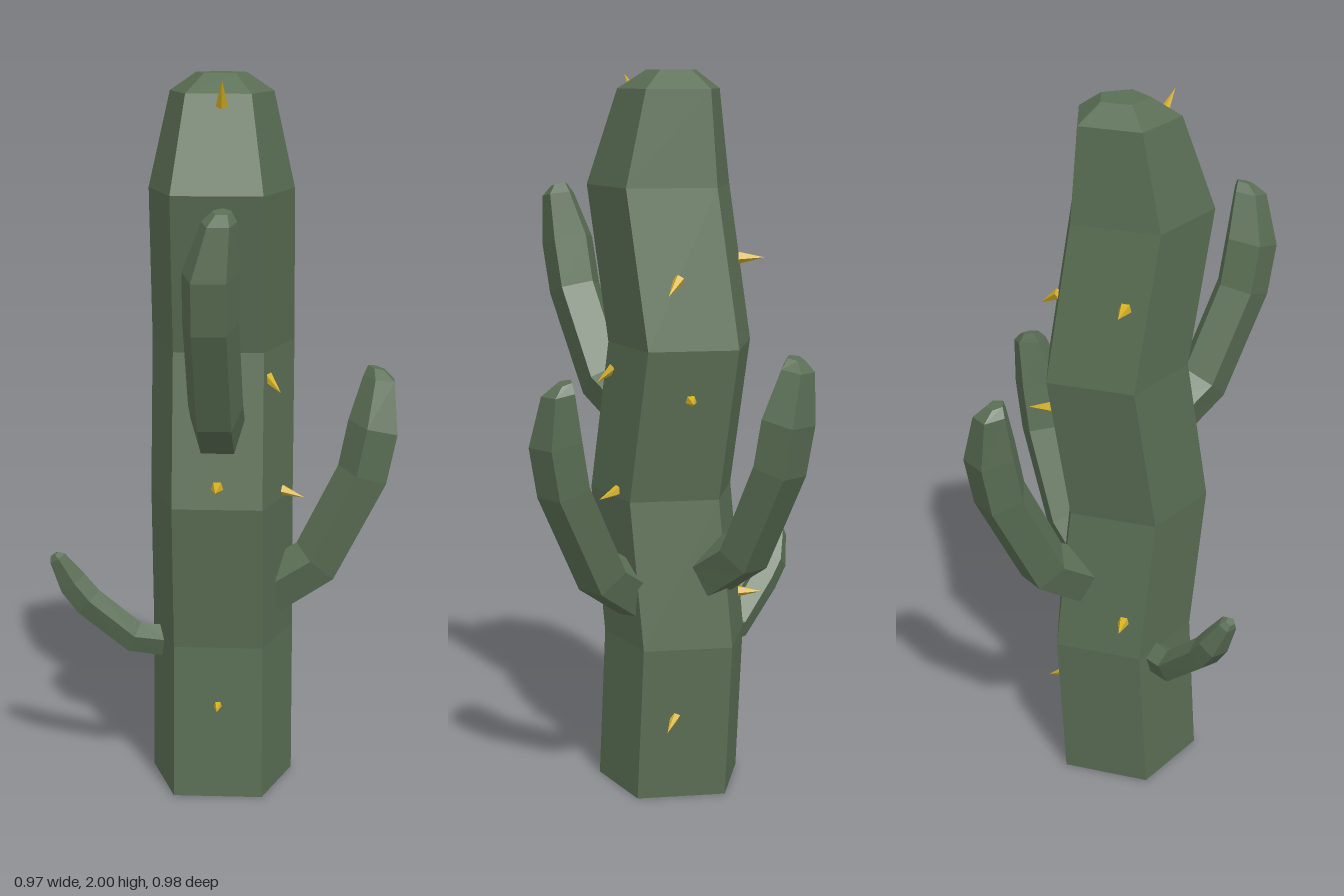
import * as THREE from 'three';

const green = new THREE.MeshStandardMaterial({ color: 0x5a6e54, flatShading: true });
const gold = new THREE.MeshStandardMaterial({ color: 0xd4af25, flatShading: true });
const SIDES = 5;

// Five-sided stem from rings [out (z), y, side (x), radius, direction in degrees above horizontal];
// each ring has a corner on its inner side and a flat on its outer side.
function stem(name, rings) {
  const loops = rings.map(([out, y, side, r, deg]) => {
    const t = THREE.MathUtils.degToRad(deg);
    return Array.from({ length: SIDES }, (_, k) => {
      const a = (k / SIDES) * Math.PI * 2;
      const c = r * Math.cos(a);
      return [side - r * Math.sin(a), y + c * Math.cos(t), out - c * Math.sin(t)];
    });
  });
  const pos = [];
  const tri = (...pts) => pts.forEach((p) => pos.push(...p));
  for (let i = 0; i < loops.length - 1; i++) {
    for (let k = 0; k < SIDES; k++) {
      const n = (k + 1) % SIDES;
      const a = loops[i], b = loops[i + 1];
      tri(a[k], a[n], b[n]);
      tri(a[k], b[n], b[k]);
    }
  }
  // End caps
  const first = loops[0], last = loops[loops.length - 1];
  for (let k = 1; k < SIDES - 1; k++) {
    tri(first[0], first[k + 1], first[k]);
    tri(last[0], last[k], last[k + 1]);
  }
  const geo = new THREE.BufferGeometry();
  geo.setAttribute('position', new THREE.Float32BufferAttribute(pos, 3));
  geo.computeVertexNormals();
  const mesh = new THREE.Mesh(geo, green);
  mesh.name = name;
  return mesh;
}

// Cone from a base point to a tip
function spine(base, tip, radius) {
  const a = new THREE.Vector3(...base), b = new THREE.Vector3(...tip);
  const dir = b.clone().sub(a);
  const mesh = new THREE.Mesh(new THREE.ConeGeometry(radius, dir.length(), 5), gold);
  mesh.position.copy(a).add(b).multiplyScalar(0.5);
  mesh.quaternion.setFromUnitVectors(new THREE.Vector3(0, 1, 0), dir.normalize());
  mesh.name = 'spine';
  return mesh;
}

export function createModel() {
  const model = new THREE.Group();
  model.name = 'cactus';

  // Trunk weaving forward and back, with a faceted crown
  model.add(stem('trunk', [
    [0.003, 0, 0, 0.21, 90],
    [-0.023, 0.43, 0, 0.21, 90],
    [0.03, 0.84, 0, 0.21, 90],
    [-0.043, 1.26, 0, 0.21, 90],
    [0.04, 1.69, 0, 0.21, 90],
    [0.004, 1.95, 0, 0.149, 90],
    [0, 2, 0, 0.072, 90],
  ]));

  // Three large arms share one bend, turned about the trunk
  const bend = [
    [0.135, 0, 0, 0.077, 32],
    [0.27, 0.085, 0, 0.077, 48],
    [0.4, 0.34, -0.005, 0.077, 72],
    [0.428, 0.475, -0.004, 0.077, 76],
    [0.441, 0.607, 0.02, 0.048, 80],
    [0.43, 0.635, 0.027, 0.025, 75],
  ];
  [['frontArm', 1.04, 0], ['leftArm', 0.56, 1], ['backArm', 0.62, 2]].forEach(([name, y, turns]) => {
    const arm = stem(name, bend);
    arm.position.y = y;
    arm.rotation.y = turns * Math.PI / 2;
    model.add(arm);
  });

  // Short thin arm
  const small = stem('rightArm', [
    [0.14, 0.395, -0.01, 0.046, 6],
    [0.25, 0.405, -0.012, 0.046, 24],
    [0.38, 0.513, 0, 0.046, 44],
    [0.424, 0.567, 0, 0.044, 52],
    [0.464, 0.643, 0.015, 0.026, 58],
    [0.472, 0.655, 0.018, 0.014, 58],
  ]);
  small.rotation.y = -Math.PI / 2;
  model.add(small);

  // Spines: base, tip, radius
  const spines = new THREE.Group();
  spines.name = 'spines';
  [
    [[0.01, 1.92, 0.13], [0.012, 1.99, 0.175], 0.017],
    [[0, 0.9, 0.19], [0, 0.905, 0.275], 0.018],
    [[0, 0.265, 0.15], [0, 0.265, 0.21], 0.013],
    [[0.13, 1.19, 0.1], [0.17, 1.15, 0.125], 0.017],
    [[0.17, 0.86, 0.04], [0.235, 0.84, 0.05], 0.016],
    [[0.11, 1.45, -0.135], [0.17, 1.41, -0.155], 0.016],
    [[0.1, 1.125, -0.17], [0.14, 1.125, -0.22], 0.016],
    [[0.11, 0.24, -0.125], [0.17, 0.205, -0.15], 0.016],
    [[-0.155, 1.49, -0.105], [-0.2, 1.49, -0.16], 0.018],
    [[-0.155, 0.54, -0.11], [-0.2, 0.54, -0.16], 0.016],
  ].forEach((s) => spines.add(spine(...s)));
  model.add(spines);

  return model;
}
